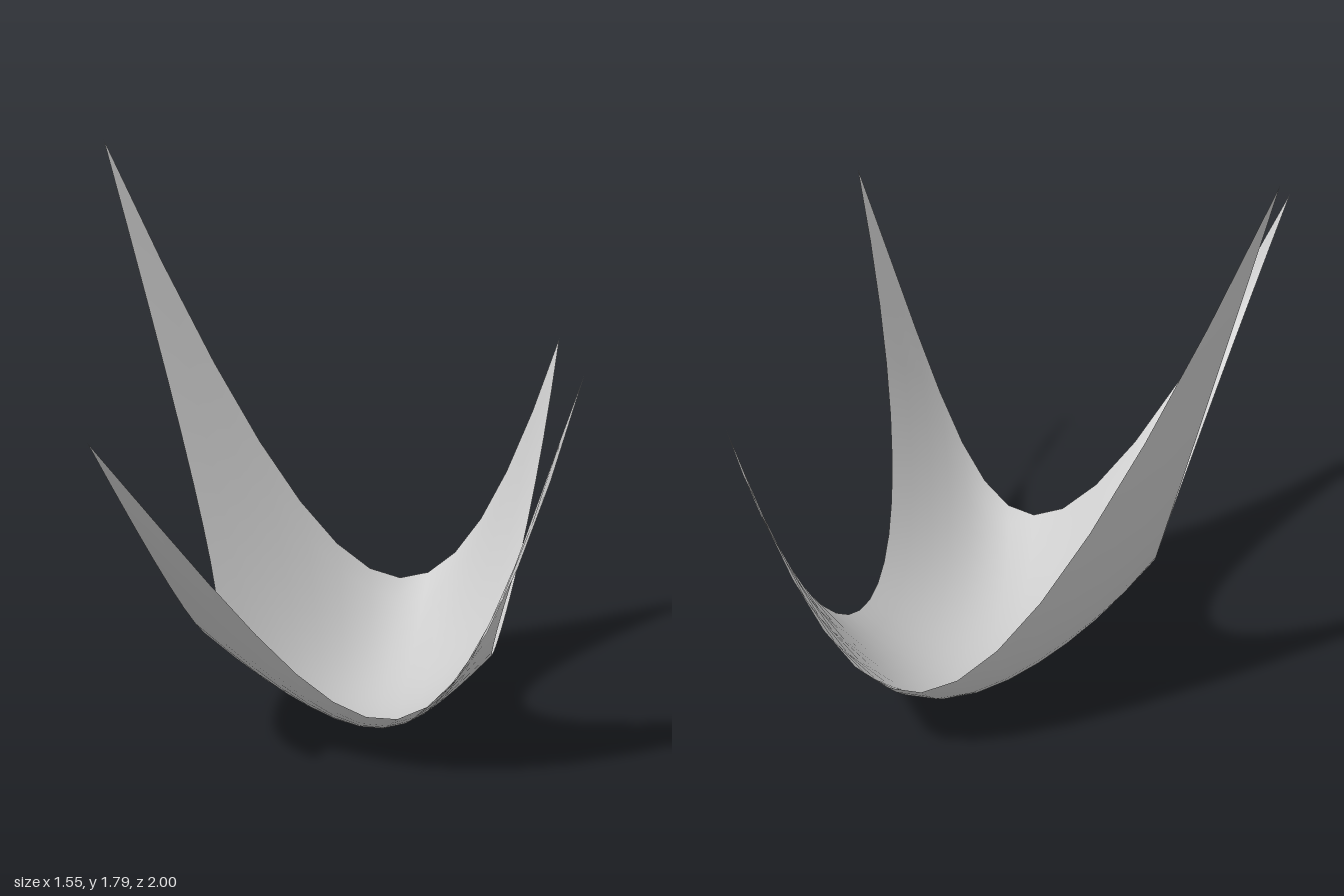
import * as THREE from 'three';

// Control net of a bicubic patch: rows run back to front, columns from right (-x) to left (+x)
const NET = [
  [[-0.78, 1.78, -0.59], [0.02, -0.14, -0.92], [0.31, -0.10, -0.98], [0.69, 1.08, -1.0]],
  [[-0.24, -0.20, -0.45], [0.0, -0.15, -0.45], [0.21, -0.05, -0.50], [0.54, -0.11, -0.62]],
  [[-0.26, 0.07, 0.15], [-0.03, -0.05, 0.0], [0.23, -0.05, -0.12], [0.31, -0.19, -0.06]],
  [[-0.58, 1.13, 1.0], [0.07, -0.17, -0.26], [0.37, -0.18, 0.78], [0.77, 1.26, 0.57]],
].map((row) => row.map((p) => new THREE.Vector3(...p)));

const bezier = (points, t) => new THREE.CubicBezierCurve3(...points).getPoint(t);

// Sheet: bend a flat grid onto the patch
function patchGeometry(net, across, along) {
  const geometry = new THREE.PlaneGeometry(1, 1, across, along);
  const { position, uv } = geometry.attributes;
  for (let i = 0; i < position.count; i++) {
    const rowPoints = net.map((row) => bezier(row, uv.getX(i)));
    const p = bezier(rowPoints, 1 - uv.getY(i));
    position.setXYZ(i, p.x, p.y, p.z);
  }
  // Rest the lowest point on the ground
  geometry.computeBoundingBox();
  geometry.translate(0, -geometry.boundingBox.min.y, 0);
  geometry.computeVertexNormals();
  return geometry;
}

export function createModel() {
  const group = new THREE.Group();
  group.name = 'curvedSheet';
  const material = new THREE.MeshStandardMaterial({ color: 0xcccccc, side: THREE.DoubleSide });
  const sheet = new THREE.Mesh(patchGeometry(NET, 13, 20), material);
  sheet.name = 'fourCorneredSheet';
  group.add(sheet);
  return group;
}
